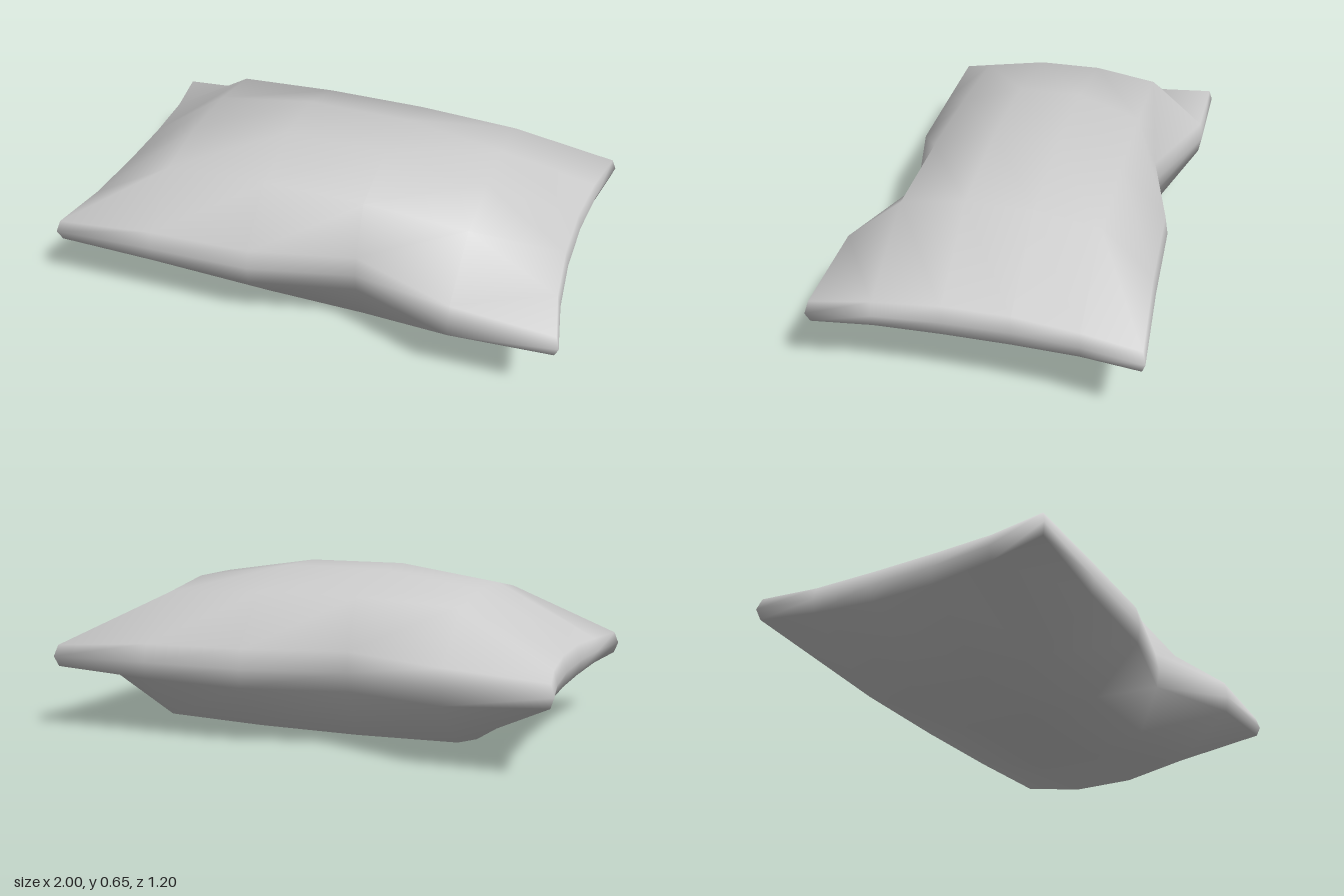
import * as THREE from 'three';
import { mergeVertices } from 'three/addons/utils/BufferGeometryUtils.js';

// Outline of the seam: back edge along x (the front edge is its half turn), and side edges along z
const GRID_X = [-1, -0.6, -0.2, 0.2, 0.6, 1];
const GRID_Z = [-0.6, -0.37, -0.125, 0.125, 0.37, 0.6];
const BACK_Z = [-0.6, -0.6, -0.46, -0.56, -0.575, -0.6];
const SIDE_X = [1, 0.96, 0.94, 0.94, 0.96, 1];
const SEAM_Y = 0.3;

// Heights of a quarter: rows from the z edge to the middle, columns from the x edge to the middle
const TOP_Y = [
  [0.345, 0.37, 0.375],
  [0.35, 0.55, 0.57],
  [0.36, 0.59, 0.65],
];
const BOTTOM_Y = [
  [0.26, 0.235, 0.225],
  [0.25, 0.055, 0.045],
  [0.24, 0.01, 0],
];

function cushionPoint(i, j, level) {
  let x = GRID_X[i];
  let z = GRID_Z[j];
  if (i === 0 || i === 5) x = Math.sign(x) * SIDE_X[j];
  if (j === 0) z = BACK_Z[i];
  if (j === 5) z = -BACK_Z[5 - i];
  if (level === 0) return [x, SEAM_Y, z];

  // Edges of the upper and lower panels sit slightly inside the seam
  if (i === 0 || i === 5) x -= Math.sign(x) * 0.015;
  if (j === 0 || j === 5) z -= Math.sign(z) * 0.012;
  const heights = level > 0 ? TOP_Y : BOTTOM_Y;
  return [x, heights[Math.min(j, 5 - j)][Math.min(i, 5 - i)], z];
}

export function createModel() {
  const group = new THREE.Group();
  group.name = 'pillow';

  // Stuffed cushion: a gridded box reshaped into two puffed panels that meet at the seam
  let geometry = new THREE.BoxGeometry(5, 2, 5, 5, 2, 5);
  geometry.deleteAttribute('uv');
  geometry.deleteAttribute('normal');
  geometry = mergeVertices(geometry);
  const position = geometry.attributes.position;
  for (let k = 0; k < position.count; k++) {
    const i = Math.round(position.getX(k) + 2.5);
    const j = Math.round(position.getZ(k) + 2.5);
    position.setXYZ(k, ...cushionPoint(i, j, Math.round(position.getY(k))));
  }
  geometry.computeVertexNormals();

  const cushion = new THREE.Mesh(geometry, new THREE.MeshStandardMaterial({ color: 0xcccccc }));
  cushion.name = 'cushion';
  group.add(cushion);
  return group;
}
